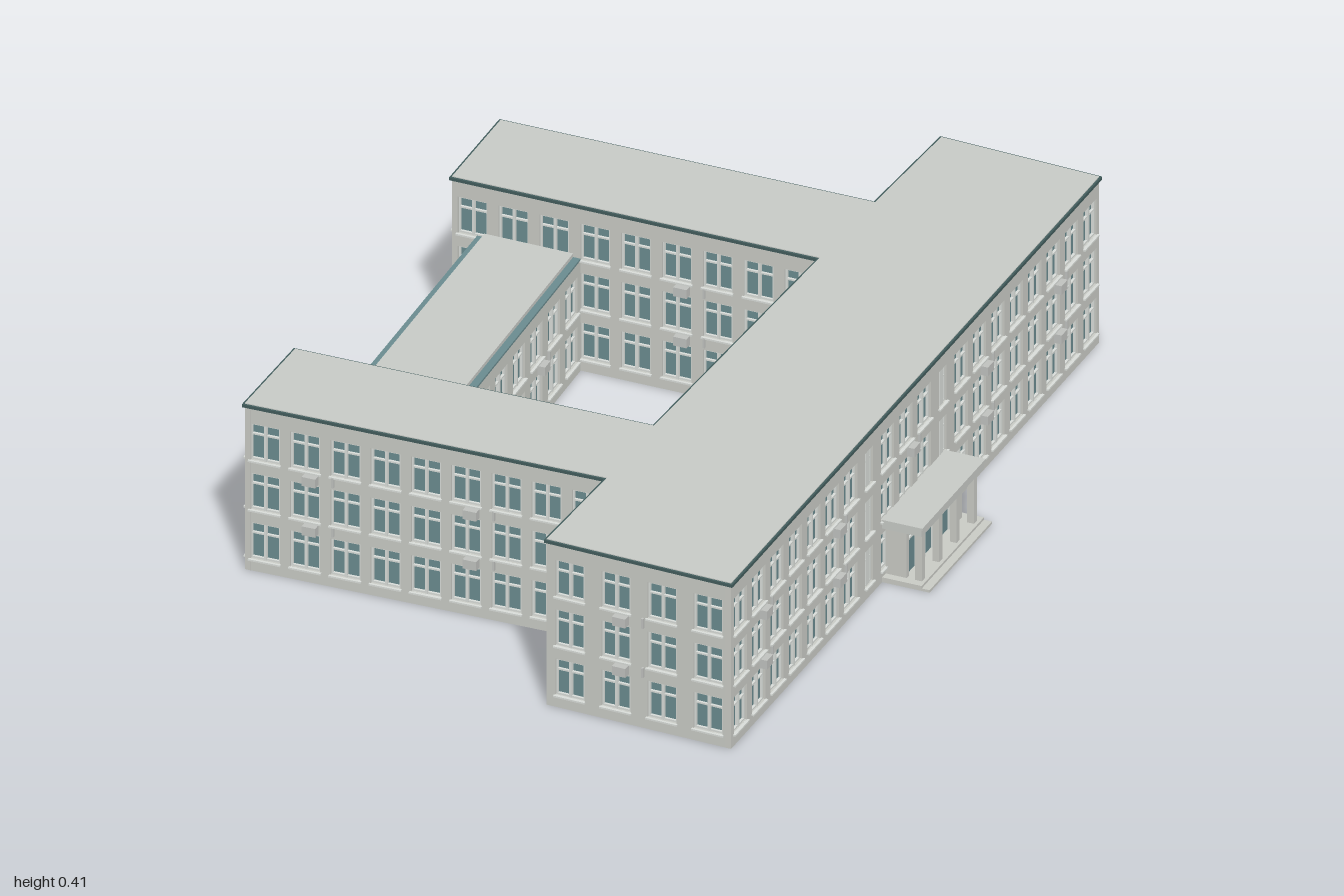
import * as THREE from 'three';
import { mergeGeometries } from 'three/addons/utils/BufferGeometryUtils.js';

const mat = (name, color) => Object.assign(new THREE.MeshStandardMaterial({ color }), { name });

// plan corners (x, z), each wall running left to right as seen from outside
const PLAN = [
  [-0.92, 0.786], [0.993, 0.406], [0.936, 0.027], [0.62, 0.075],
  [0.444, -0.795], [0.182, -0.738], [0.353, 0.118], [-0.455, 0.251],
  [-0.631, -0.578], [-0.888, -0.529], [-0.70, 0.30], [-0.993, 0.348],
];
const LINK = [[-0.556, -0.246], [0.24, -0.438], [0.193, -0.679], [-0.61, -0.492]];

const FLOOR = 0.123, SILL = 0.03, WIN_H = 0.09, HEIGHT = 0.414, LINK_H = 0.285;

function box(w, h, d, x, y, z) {
  return new THREE.BoxGeometry(w, h, d).translate(x, y, z);
}

function rectPath(path, x, y, w, h) {
  path.moveTo(x, y);
  path.lineTo(x + w, y);
  path.lineTo(x + w, y + h);
  path.lineTo(x, y + h);
  path.closePath();
  return path;
}

function add(group, name, geometry, material) {
  const mesh = new THREE.Mesh(geometry, material);
  mesh.name = name;
  group.add(mesh);
  return mesh;
}

// horizontal slab cut to a plan outline
function slab(points, y, thickness) {
  const shape = new THREE.Shape(points.map(([x, z]) => new THREE.Vector2(x, -z)));
  return new THREE.ExtrudeGeometry(shape, { depth: thickness, bevelEnabled: false })
    .rotateX(-Math.PI / 2).translate(0, y, 0);
}

export function createModel() {
  const M = {
    wall: mat('wall plaster', 0xc8cac4),
    roof: mat('roof grey', 0xc6c9c5),
    glass: mat('teal glass', 0x6a8b8f),
    frame: mat('window frame', 0xd8dcd8),
    trim: mat('dark teal trim', 0x425c5c),
    unit: mat('air unit grey', 0xbfc1be),
  };
  const model = new THREE.Group();
  model.name = 'courtyardBuilding';

  // group whose x runs along the wall and z points outward
  function wallFrame(a, b, name) {
    const g = new THREE.Group();
    g.name = name;
    g.position.set(a[0], 0, a[1]);
    g.rotation.y = Math.atan2(a[1] - b[1], b[0] - a[0]);
    model.add(g);
    return g;
  }

  // one facade: pierced wall, glass behind, frames, air units and roof trim
  function facade(a, b, name, floors, top, narrowBays = []) {
    const g = wallFrame(a, b, name);
    const len = Math.hypot(b[0] - a[0], b[1] - a[1]);
    const bays = Math.round(len / 0.1), pitch = len / bays;
    const shape = rectPath(new THREE.Shape(), 0, 0, len, top - 0.004);
    const frames = [], units = [];
    for (let k = 0; k < bays; k++) {
      const cx = (k + 0.5) * pitch;
      const narrow = narrowBays.includes(k);
      const w = narrow ? 0.042 : 0.07;
      for (let f = 0; f < floors; f++) {
        const y = SILL + f * FLOOR, cy = y + WIN_H / 2;
        shape.holes.push(rectPath(new THREE.Path(), cx - w / 2, y, w, WIN_H));
        // frame edges, mullion and transom
        for (const s of [-1, 1]) {
          frames.push(box(0.004, WIN_H, 0.006, cx + s * (w / 2 - 0.002), cy, -0.008));
          frames.push(box(w, 0.004, 0.006, cx, cy + s * (WIN_H / 2 - 0.002), -0.008));
        }
        frames.push(box(narrow ? 0.018 : 0.006, WIN_H, 0.008, cx, cy, -0.007));
        frames.push(box(w, 0.004, 0.006, cx, y + WIN_H * 0.7, -0.008));
        // projecting sill
        frames.push(box(w + 0.006, 0.004, 0.008, cx, y - 0.002, 0.002));
        // air units on brackets beneath upper windows
        const overDoor = narrowBays.length > 0 && k === 9 && f === 1;
        if (f > 0 && k % 4 === 1 && !overDoor) {
          units.push(box(0.032, 0.022, 0.018, cx + 0.016, y - 0.016, 0.011));
          units.push(box(0.005, 0.024, 0.006, cx + 0.066, y - 0.014, 0.003));
        }
      }
    }
    add(g, 'wall', new THREE.ExtrudeGeometry(shape, { depth: 0.014, bevelEnabled: false })
      .translate(0, 0, -0.014), M.wall);
    add(g, 'glazing', new THREE.PlaneGeometry(len - 0.028, top - 0.02)
      .translate(len / 2, top / 2, -0.011), M.glass);
    add(g, 'windowFrames', mergeGeometries(frames), M.frame);
    if (units.length) add(g, 'airUnits', mergeGeometries(units), M.unit);
    if (top === HEIGHT) {
      add(g, 'roofTrim', box(len + 0.008, 0.007, 0.012, len / 2, top - 0.0055, -0.001), M.trim);
    }
    return g;
  }

  // main U-shaped block
  PLAN.forEach((a, i) => {
    facade(a, PLAN[(i + 1) % PLAN.length], i === 0 ? 'frontFacade' : 'facade' + i,
      3, HEIGHT, i === 0 ? [7, 11] : []);
  });
  add(model, 'mainRoof', slab(PLAN, HEIGHT - 0.009, 0.009), M.roof);
  add(model, 'mainFloor', slab(PLAN, 0, 0.006), M.wall);

  // lower link closing the courtyard, with a gutter on both long sides
  facade(LINK[0], LINK[1], 'linkCourtyardFacade', 2, LINK_H - 0.006);
  facade(LINK[2], LINK[3], 'linkBackFacade', 2, LINK_H - 0.006);
  const mix = (p, q, t) => [p[0] + (q[0] - p[0]) * t, p[1] + (q[1] - p[1]) * t];
  const inset = [
    mix(LINK[0], LINK[3], 0.07), mix(LINK[1], LINK[2], 0.07),
    mix(LINK[2], LINK[1], 0.07), mix(LINK[3], LINK[0], 0.07),
  ];
  add(model, 'linkGutter', slab(LINK, LINK_H - 0.012, 0.007), M.glass);
  add(model, 'linkRoof', slab(inset, LINK_H - 0.008, 0.012), M.roof);
  add(model, 'linkFloor', slab(LINK, 0, 0.006), M.wall);

  // entrance porch: steps, columns, glazed lobby and canopy
  const porch = wallFrame(PLAN[0], PLAN[1], 'entrancePorch');
  const cx = 0.965, width = 0.33;
  add(porch, 'steps', mergeGeometries([
    box(width, 0.006, 0.113, cx, 0.003, 0.0565),
    box(width, 0.006, 0.094, cx, 0.009, 0.047),
  ]), M.wall);
  add(porch, 'canopy', mergeGeometries([
    box(width, 0.018, 0.094, cx, 0.143, 0.047),
    box(width + 0.006, 0.005, 0.097, cx, 0.1545, 0.0485),
  ]), M.roof);
  const columns = [];
  for (const x of [-0.138, -0.046, 0.046, 0.138]) {
    columns.push(box(0.016, 0.124, 0.016, cx + x, 0.073, 0.078));
  }
  for (const s of [-1, 1]) columns.push(box(0.012, 0.124, 0.05, cx + s * 0.14, 0.073, 0.025));
  add(porch, 'columns', mergeGeometries(columns), M.wall);
  add(porch, 'lobbyGlass', box(0.27, 0.12, 0.006, cx, 0.072, 0.04), M.glass);
  const bars = [box(0.27, 0.005, 0.006, cx, 0.1, 0.045)];
  for (let i = -3; i <= 3; i++) bars.push(box(0.004, 0.12, 0.006, cx + i * 0.044, 0.072, 0.045));
  add(porch, 'lobbyFrames', mergeGeometries(bars), M.frame);

  return model;
}
